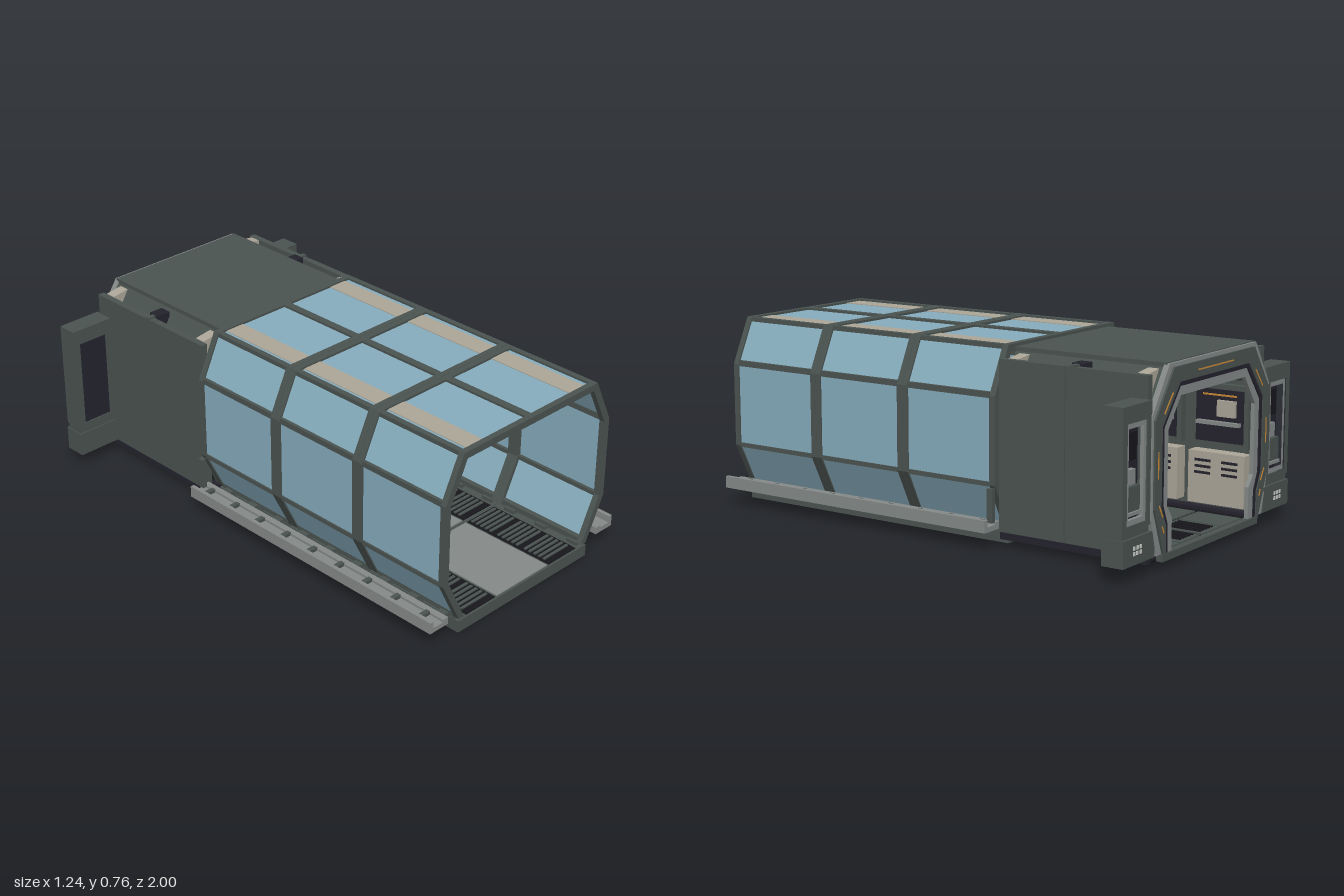
import * as THREE from 'three';

const paint = (name, color) => {
  const m = new THREE.MeshStandardMaterial({ color });
  m.name = name;
  return m;
};
const M = {
  hull: paint('hull grey green', 0x4a5350),
  glass: paint('blue glass', 0x86acbc),
  beige: paint('beige panel', 0xaca698),
  grey: paint('mid grey', 0x858988),
  navy: paint('dark navy', 0x24232d),
  black: paint('near black', 0x17171c),
  orange: paint('orange light', 0xc98a35),
  pale: paint('pale mark', 0xc9cbc8),
};

export function createModel() {
  const root = new THREE.Group();
  let parent = root;

  const group = (name) => {
    parent = new THREE.Group();
    parent.name = name;
    root.add(parent);
  };
  const add = (name, geo, mat) => {
    const m = new THREE.Mesh(geo, mat);
    m.name = name;
    parent.add(m);
    return m;
  };
  // Box given by its limits
  const box = (name, mat, x0, x1, y0, y1, z0, z1) => {
    const m = add(name, new THREE.BoxGeometry(Math.abs(x1 - x0), y1 - y0, z1 - z0), mat);
    m.position.set((x0 + x1) / 2, (y0 + y1) / 2, (z0 + z1) / 2);
  };
  const pair = (name, mat, x0, x1, ...r) => {
    for (const s of [1, -1]) box(name, mat, s * x0, s * x1, ...r);
  };
  // Plate between two points of the cross-section, mirrored on both sides
  const slabs = (name, mat, [ax, ay], [bx, by], t, z0, z1) => {
    for (const s of [1, -1]) {
      const m = add(name, new THREE.BoxGeometry(Math.hypot(bx - ax, by - ay), t, z1 - z0), mat);
      m.position.set(s * (ax + bx) / 2, (ay + by) / 2, (z0 + z1) / 2);
      m.rotation.z = s * Math.atan2(by - ay, bx - ax);
    }
  };
  const extrude = (name, mat, pts, z0, z1, holes = []) => {
    const v = (a) => a.map(([x, y]) => new THREE.Vector2(x, y));
    const shape = new THREE.Shape(v(pts));
    for (const h of holes) shape.holes.push(new THREE.Path(v(h)));
    const m = add(name, new THREE.ExtrudeGeometry(shape, { depth: z1 - z0, bevelEnabled: false }), mat);
    m.position.z = z0;
  };
  // Open-bottomed arch from right-half outlines listed from bottom to top
  const full = (h) => [...h, ...h.map(([x, y]) => [-x, y]).reverse()];
  const arch = (name, mat, outer, inner, z0, z1) =>
    extrude(name, mat, [...full(outer), ...full(inner).reverse()], z0, z1);
  const rect = (x0, x1, y0, y1) => [[x0, y0], [x1, y0], [x1, y1], [x0, y1]];

  // Glazed tunnel: three bays
  group('glazedTunnel');
  const outer = [[0.365, 0.06], [0.455, 0.24], [0.455, 0.58], [0.367, 0.765]];
  const inner = [[0.337, 0.06], [0.428, 0.246], [0.428, 0.573], [0.349, 0.737]];
  const pane = [[0.357, 0.06], [0.446, 0.242], [0.446, 0.578], [0.361, 0.756]];
  const bay = 0.44;
  for (let i = 0; i < 3; i++) {
    const z0 = -0.32 + i * bay, z1 = z0 + bay;
    arch('rib', M.hull, outer, inner, z0, z0 + 0.026);
    arch('rib', M.hull, outer, inner, z1 - 0.026, z1 - 0.001);
    const a = z0 + 0.026, b = z1 - 0.026;
    for (let k = 0; k < 3; k++) slabs('sidePane', M.glass, pane[k], pane[k + 1], 0.006, a, b);
    box('roofPane', M.glass, -0.36, 0.36, 0.75, 0.756, a, b);
    pair('roofStrip', M.beige, 0.24, 0.325, 0.748, 0.759, a, b);
    // Lengthwise beams
    box('ridgeBeam', M.hull, -0.016, 0.016, 0.742, 0.765, a, b);
    pair('roofBeam', M.hull, 0.345, 0.369, 0.74, 0.764, a, b);
    pair('upperBeam', M.hull, 0.43, 0.455, 0.572, 0.595, a, b);
    pair('lowerBeam', M.hull, 0.43, 0.455, 0.234, 0.252, a, b);
    pair('sillBeam', M.hull, 0.342, 0.37, 0.06, 0.082, a, b);
    // Floor slab, centre plate and ribbed treads
    box('floorSlab', M.hull, -0.367, 0.367, 0, 0.05, z0 + 0.001, z1 - 0.001);
    box('centrePlate', M.grey, -0.145, 0.145, 0.05, 0.054, z0 + 0.01, z1 - 0.01);
    pair('treadBase', M.black, 0.155, 0.315, 0.05, 0.053, z0 + 0.01, z1 - 0.01);
    for (let k = 0; k < 3; k++) {
      const c = z0 + 0.02 + k * 0.137;
      for (let j = 0; j < 5; j++)
        pair('treadRib', M.hull, 0.165, 0.305, 0.053, 0.058, c + j * 0.024, c + j * 0.024 + 0.011);
    }
    for (const z of [z0 + 0.05, z0 + 0.21, z0 + 0.37])
      pair('sillClip', M.hull, 0.33, 0.365, 0.048, 0.065, z, z + 0.05);
  }

  // Outer rails
  group('sideRails');
  pair('railBase', M.grey, 0.425, 0.52, 0.07, 0.09, -0.32, 1);
  pair('railLip', M.grey, 0.503, 0.52, 0.09, 0.118, -0.32, 1);
  pair('railInnerLip', M.grey, 0.425, 0.452, 0.09, 0.1, -0.32, 1);
  for (let i = 0; i < 9; i++) {
    const z = -0.27 + i * 0.148;
    pair('railClip', M.hull, 0.45, 0.503, 0.09, 0.104, z, z + 0.02);
    pair('railSupport', M.hull, 0.35, 0.47, 0.055, 0.07, z, z + 0.04);
  }
  pair('railStop', M.hull, 0.455, 0.475, 0.1, 0.23, -0.32, -0.295);

  // Rear hall shell
  group('rearHall');
  for (const [z0, z1] of [[-0.615, -0.322], [-0.968, -0.618]]) {
    pair('hallWall', M.hull, 0.405, 0.432, 0.06, 0.72, z0, z1);
    box('hallFloor', M.black, -0.4, 0.4, 0.03, 0.048, z0, z1);
  }
  box('hallRoof', M.hull, -0.325, 0.325, 0.735, 0.753, -0.98, -0.322);
  box('ceiling', M.beige, -0.29, 0.29, 0.705, 0.735, -0.965, -0.365);
  slabs('hallChamfer', M.hull, [0.415, 0.575], [0.315, 0.738], 0.015, -0.968, -0.325);
  pair('wallFoot', M.navy, 0.36, 0.425, 0.03, 0.06, -0.968, -0.322);
  for (let i = 0; i < 4; i++)
    pair('ceilingVent', M.navy, 0.08, 0.22, 0.702, 0.706, -0.9 + i * 0.14, -0.83 + i * 0.14);
  for (const s of [1, -1]) {
    const gusset = [[0.328, 0.73], [0.402, 0.72], [0.402, 0.6]].map(([x, y]) => [s * x, y]);
    for (const z of [-0.39, -0.95]) extrude('cornerGusset', M.beige, gusset, z, z + 0.045);
  }
  pair('roofLatch', M.navy, 0.34, 0.4, 0.66, 0.73, -0.675, -0.625);
  pair('latchPin', M.hull, 0.36, 0.435, 0.7, 0.728, -0.66, -0.64);

  // Hall floor grating
  for (let r = 0; r < 3; r++) {
    const z = -0.95 + r * 0.205;
    pair('floorTile', M.hull, 0.012, 0.15, 0.048, 0.054, z, z + 0.19);
    pair('floorEdgeTile', M.hull, 0.16, 0.31, 0.048, 0.054, z, z + 0.19);
    for (let j = 0; j < 5; j++)
      pair('floorRib', M.black, 0.025 + j * 0.022, 0.035 + j * 0.022, 0.054, 0.059, z + 0.02, z + 0.17);
  }

  // Interior lockers and wall cabinets
  group('wallEquipment');
  for (const z of [-0.94, -0.64]) {
    const e = z + 0.25;
    pair('locker', M.beige, 0.345, 0.405, 0.08, 0.29, z, e);
    for (const k of [0.03, 0.15])
      for (const y of [0.2, 0.225, 0.25])
        pair('lockerSlot', M.navy, 0.341, 0.346, y, y + 0.01, z + k, z + k + 0.07);
    pair('cabinet', M.hull, 0.37, 0.405, 0.31, 0.56, z, e);
    pair('cabinetInset', M.navy, 0.365, 0.371, 0.33, 0.54, z + 0.02, e - 0.02);
    pair('cabinetShelf', M.grey, 0.345, 0.37, 0.4, 0.415, z + 0.03, e - 0.03);
    pair('cabinetUnit', M.beige, 0.35, 0.37, 0.435, 0.5, z + 0.05, z + 0.13);
    pair('cabinetLight', M.orange, 0.362, 0.366, 0.515, 0.522, z + 0.05, e - 0.05);
  }

  // Portals at both ends of the hall
  const ringA = [[0.36, 0.06], [0.425, 0.235], [0.425, 0.56], [0.3, 0.735]];
  const ringB = [[0.34, 0.06], [0.343, 0.165], [0.377, 0.235], [0.377, 0.53], [0.258, 0.677]];
  const ringC = [[0.325, 0.06], [0.328, 0.17], [0.358, 0.24], [0.358, 0.525], [0.25, 0.66]];
  const ringD = [[0.29, 0.06], [0.29, 0.185], [0.325, 0.23], [0.325, 0.51], [0.24, 0.625]];
  for (const [name, z0, z1, f] of [['frontPortal', -0.355, -0.322, -0.321], ['rearPortal', -0.998, -0.965, -0.999]]) {
    group(name);
    arch('portalFrame', M.hull, ringA, ringB, z0, z1);
    arch('portalSeal', M.navy, ringB, ringC, z0 + 0.004, z1 - 0.004);
    arch('portalLiner', M.grey, ringC, ringD, z0 + 0.008, z1 - 0.008);
    // Light strips
    const a = f - 0.001, b = f + 0.001;
    box('topLight', M.orange, -0.13, 0.13, 0.702, 0.707, a, b);
    slabs('sideLight', M.orange, [0.404, 0.345], [0.404, 0.445], 0.005, a, b);
    slabs('upperLight', M.orange, [0.368, 0.575], [0.31, 0.645], 0.006, a, b);
    slabs('lowerLight', M.orange, [0.37, 0.2], [0.395, 0.245], 0.006, a, b);
    slabs('footLight', M.orange, [0.36, 0.14], [0.372, 0.165], 0.006, a, b);
  }
  arch('portalBackplate', M.grey, [[0.4, 0.06], [0.435, 0.2], [0.435, 0.58], [0.322, 0.75]], ringA, -0.99, -0.967);
  box('threshold', M.hull, -0.36, 0.36, 0.03, 0.058, -0.995, -0.965);

  // Side pylons
  group('sidePylons');
  for (const s of [1, -1]) {
    const r = (...a) => rect(...a).map(([x, y]) => [s * x, y]);
    extrude('pylonFrame', M.hull, r(0.43, 0.622, 0.185, 0.635), -0.985, -0.9, [r(0.46, 0.592, 0.205, 0.572)]);
    extrude('pylonTrim', M.grey, r(0.46, 0.592, 0.205, 0.572), -0.98, -0.965, [r(0.476, 0.576, 0.225, 0.552)]);
  }
  pair('pylonPanel', M.navy, 0.46, 0.592, 0.205, 0.572, -0.945, -0.905);
  pair('pylonScreen', M.black, 0.488, 0.564, 0.43, 0.53, -0.958, -0.945);
  pair('pylonDevice', M.hull, 0.485, 0.567, 0.25, 0.34, -0.972, -0.945);
  pair('pylonKnob', M.grey, 0.505, 0.545, 0.345, 0.4, -0.965, -0.945);
  pair('pylonShelf', M.grey, 0.48, 0.572, 0.235, 0.248, -0.975, -0.945);
  pair('pylonBase', M.hull, 0.41, 0.622, 0.06, 0.16, -0.99, -0.9);
  pair('pylonNeck', M.hull, 0.435, 0.618, 0.16, 0.185, -0.98, -0.905);
  pair('pylonBracket', M.hull, 0.4, 0.45, 0.185, 0.62, -0.965, -0.91);
  for (let i = 0; i < 3; i++)
    for (const y of [0.095, 0.115])
      pair('baseMark', M.pale, 0.5 + i * 0.022, 0.512 + i * 0.022, y, y + 0.014, -0.993, -0.989);

  return root;
}
